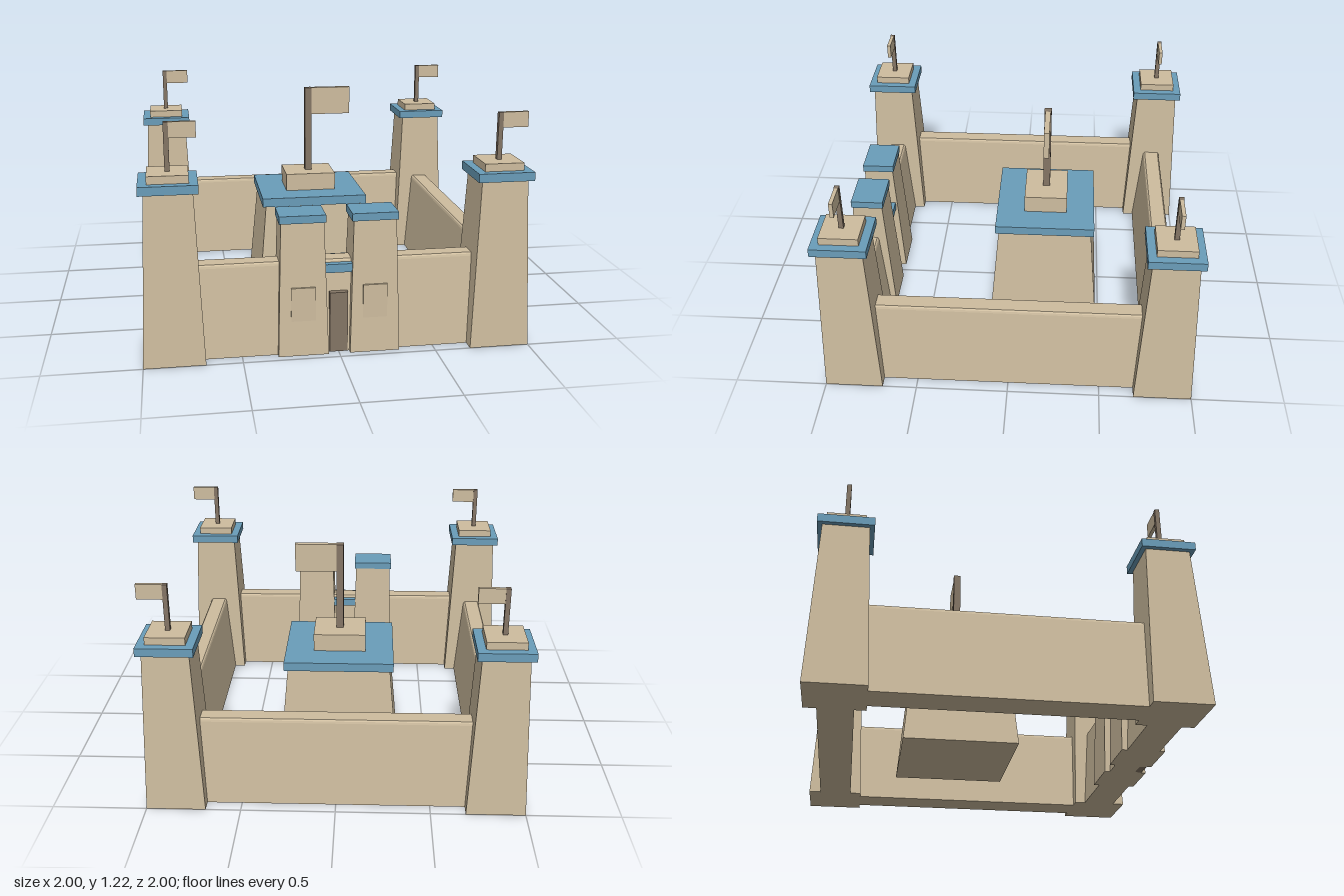
import * as THREE from 'three';

const sand = new THREE.MeshStandardMaterial({ color: 0xcebd9f });
const blue = new THREE.MeshStandardMaterial({ color: 0x6a9db9 });
const wood = new THREE.MeshStandardMaterial({ color: 0x847565 });
sand.name = 'sandstone';
blue.name = 'blue roof';
wood.name = 'dark wood';

function add(parent, name, geometry, material) {
  const mesh = new THREE.Mesh(geometry, material);
  mesh.name = name;
  parent.add(mesh);
  return mesh;
}

// Box given by half-widths and bottom/top heights; the top may be narrower
function block(parent, name, material, hx, hz, y0, y1, x = 0, z = 0, topX = hx, topZ = hz) {
  const g = new THREE.BoxGeometry(2 * hx, y1 - y0, 2 * hz);
  const p = g.attributes.position;
  for (let i = 0; i < p.count; i++) {
    if (p.getY(i) > 0) {
      p.setX(i, Math.sign(p.getX(i)) * topX);
      p.setZ(i, Math.sign(p.getZ(i)) * topZ);
    }
  }
  g.translate(0, (y0 + y1) / 2, 0);
  g.computeVertexNormals();
  const mesh = add(parent, name, g, material);
  mesh.position.set(x, 0, z);
  return mesh;
}

function flagpole(parent, half, y0, y1, flagLength, flagHeight, flagHalf) {
  block(parent, 'flagpole', wood, half, half, y0, y1);
  block(parent, 'flag', sand, flagLength / 2, flagHalf, y1 - flagHeight, y1, half + flagLength / 2);
}

// Battered wall with softened top edges, running along x
function wall(parent, name, length) {
  const side = [[0.0925, 0], [0.051, 0.472], [0.048, 0.483], [0.041, 0.49]];
  const outline = [...side, ...side.map(([x, y]) => [-x, y]).reverse()];
  const shape = new THREE.Shape(outline.map(([x, y]) => new THREE.Vector2(x, y)));
  const g = new THREE.ExtrudeGeometry(shape, { depth: length, bevelEnabled: false });
  g.translate(0, 0, -length / 2);
  g.rotateY(Math.PI / 2);
  return add(parent, name, g, sand);
}

export function createModel() {
  const fort = new THREE.Group();
  fort.name = 'fort';
  const c = 0.843;

  // Corner towers
  for (const sx of [-1, 1]) {
    for (const sz of [-1, 1]) {
      const tower = new THREE.Group();
      tower.name = 'cornerTower';
      tower.position.set(sx * c, 0, sz * c);
      block(tower, 'towerBody', sand, 0.157, 0.157, 0, 0.89, 0, 0, 0.12, 0.12);
      block(tower, 'towerRoof', blue, 0.146, 0.146, 0.89, 0.935);
      block(tower, 'towerTop', sand, 0.102, 0.102, 0.935, 0.975);
      flagpole(tower, 0.0125, 0.975, 1.22, 0.133, 0.08, 0.01);
      fort.add(tower);
    }
  }

  // Four curtain walls
  for (const s of [-1, 1]) {
    wall(fort, s > 0 ? 'frontWall' : 'backWall', 2 * c).position.z = s * 0.84;
    const sideWall = wall(fort, s > 0 ? 'leftWall' : 'rightWall', 2 * c);
    sideWall.rotation.y = Math.PI / 2;
    sideWall.position.x = s * 0.841;
  }

  // Gatehouse
  const gate = new THREE.Group();
  gate.name = 'gatehouse';
  gate.position.z = 0.839;
  for (const s of [-1, 1]) {
    const x = s * 0.186;
    block(gate, 'gateTower', sand, 0.13, 0.1225, 0, 0.7, x, 0, 0.11, 0.083);
    block(gate, 'gateTowerRoof', blue, 0.119, 0.09, 0.7, 0.74, x);
    block(gate, 'gateTowerPanel', sand, 0.063, 0.01, 0.14, 0.365, x, 0.102);
  }
  block(gate, 'gateBand', blue, 0.085, 0.086, 0.43, 0.475);
  block(gate, 'door', wood, 0.047, 0.02, 0, 0.325, 0, 0.076);
  fort.add(gate);

  // Central keep
  const keep = new THREE.Group();
  keep.name = 'keep';
  keep.position.z = -0.172;
  block(keep, 'keepBody', sand, 0.335, 0.3125, 0, 0.55, 0, 0, 0.285, 0.265);
  block(keep, 'keepRoof', blue, 0.305, 0.2825, 0.55, 0.6);
  block(keep, 'keepTop', sand, 0.146, 0.1225, 0.6, 0.7);
  flagpole(keep, 0.02, 0.7, 1.2, 0.23, 0.16, 0.015);
  fort.add(keep);

  return fort;
}
